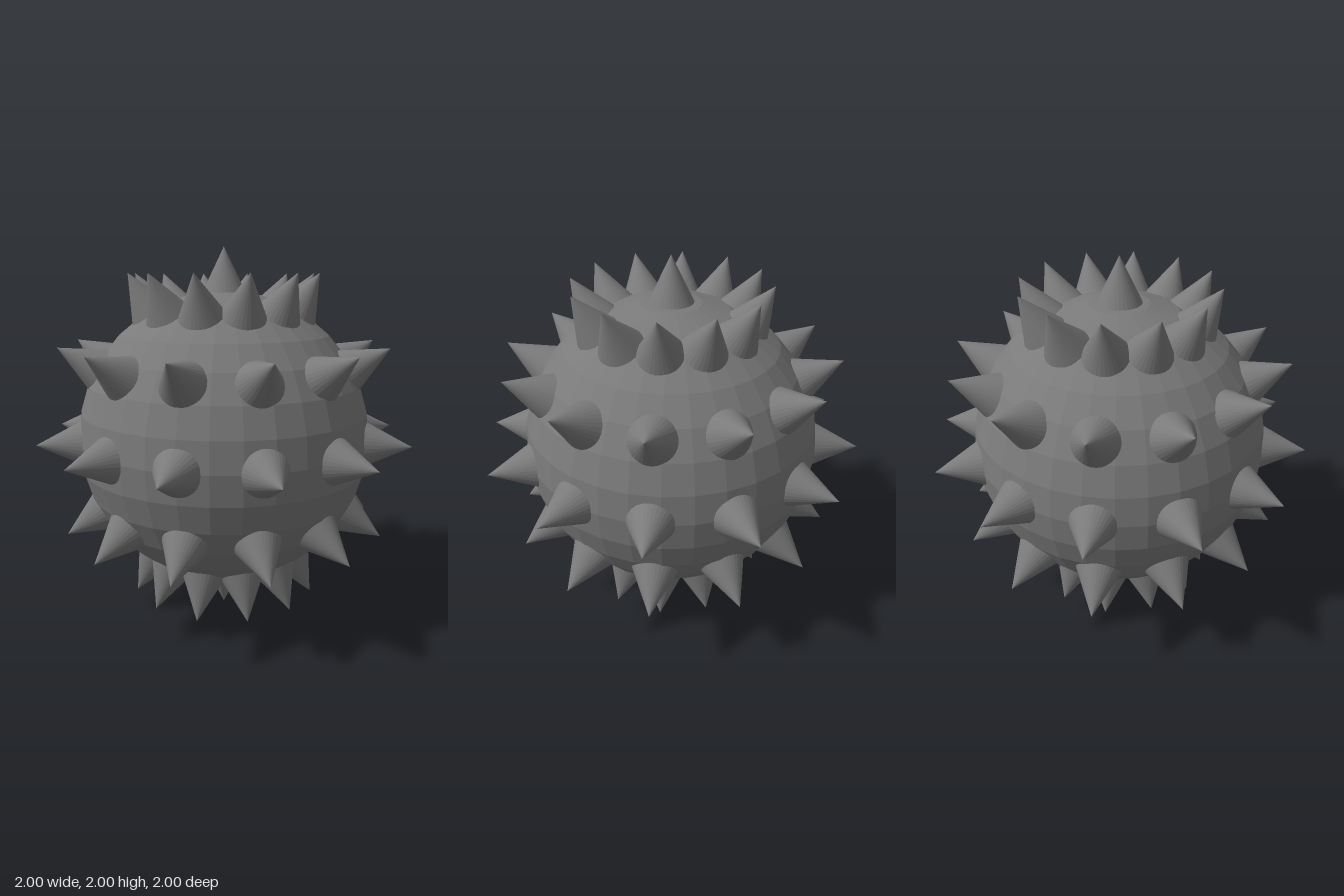
import * as THREE from 'three';

const BODY_RADIUS = 0.78;
const SPIKE_RADIUS = 0.12;
const SPIKE_BASE = 0.755; // distance of the spike base from the centre
const SPIKE_TIP = 1;

export function createModel() {
  const model = new THREE.Group();
  model.name = 'spikedBall';
  const material = new THREE.MeshStandardMaterial({ color: 0x7a7a7a, flatShading: true });

  // faceted round body
  const body = new THREE.Mesh(new THREE.SphereGeometry(BODY_RADIUS, 32, 16), material);
  body.name = 'body';
  body.position.y = 1;
  model.add(body);

  // one spike, its base sunk slightly into the body
  const height = SPIKE_TIP - SPIKE_BASE;
  const spikeGeometry = new THREE.ConeGeometry(SPIKE_RADIUS, height, 32);
  spikeGeometry.translate(0, SPIKE_BASE + height / 2, 0);

  const up = new THREE.Vector3(0, 1, 0);
  const addSpike = (parent, elevation, azimuth) => {
    const spike = new THREE.Mesh(spikeGeometry, material);
    spike.name = 'spike';
    const direction = new THREE.Vector3().setFromSphericalCoords(
      1, THREE.MathUtils.degToRad(90 - elevation), THREE.MathUtils.degToRad(azimuth));
    spike.quaternion.setFromUnitVectors(up, direction);
    parent.add(spike);
  };

  // rings of twelve spikes, with a single spike at each pole
  for (const elevation of [-90, -60, -30, 0, 30, 60, 90]) {
    const ring = new THREE.Group();
    const isPole = Math.abs(elevation) === 90;
    ring.name = isPole ? 'poleSpike' : 'spikeRing';
    ring.position.y = 1;
    const count = isPole ? 1 : 12;
    for (let i = 0; i < count; i++) addSpike(ring, elevation, i * 30);
    model.add(ring);
  }

  return model;
}
